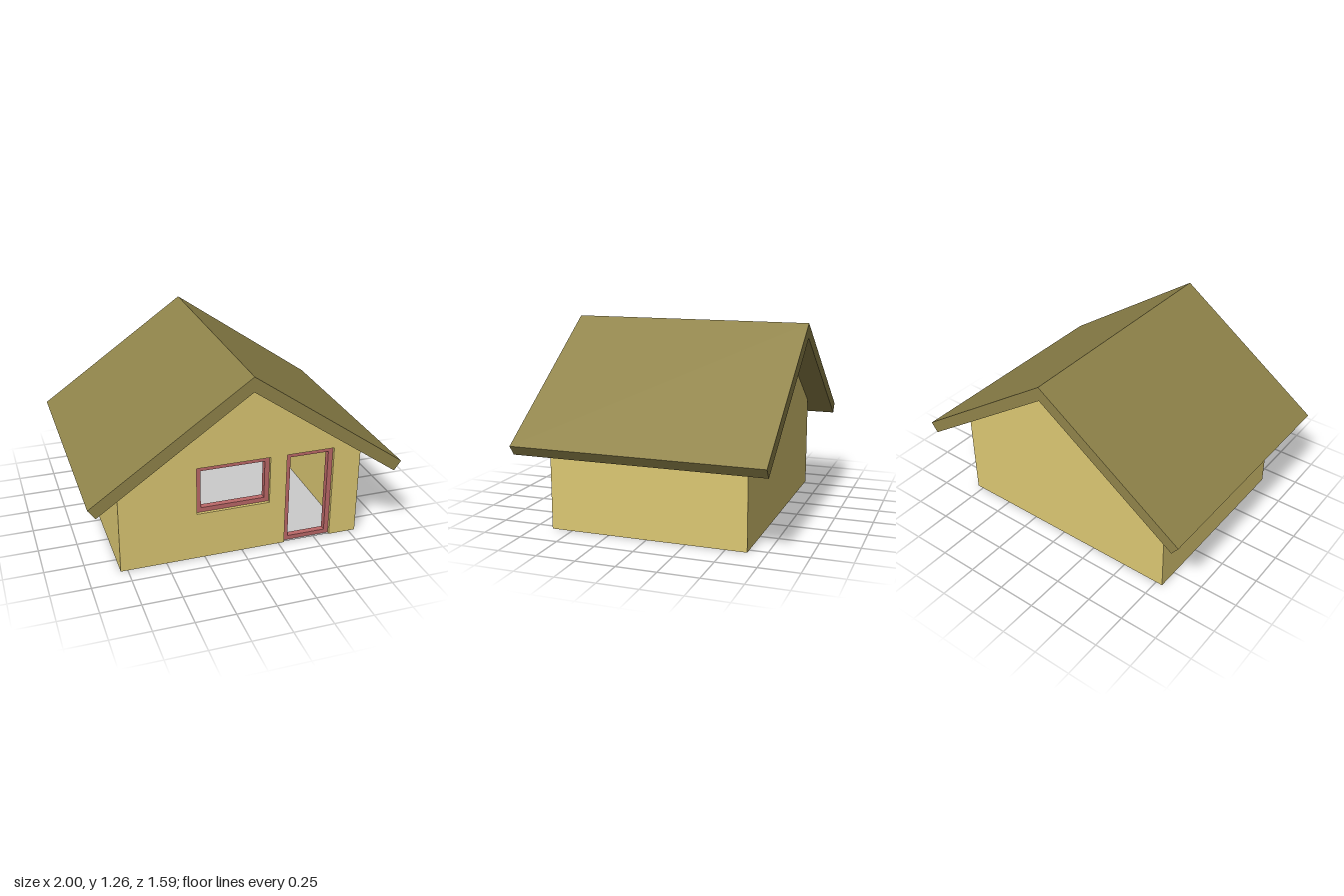
import * as THREE from 'three';

const HALF_W = 0.795, HALF_D = 0.635, WALL = 0.08;
const PEAK = 1.17, SLOPE = 0.696;
const WINDOW = { x0: -0.3, x1: 0.18, y0: 0.32, y1: 0.64 };
const DOOR = { x0: 0.29, x1: 0.61, y0: 0, y1: 0.64 };

const paint = (color) => new THREE.MeshStandardMaterial({ color, flatShading: true });
const roofline = (x) => PEAK - SLOPE * Math.abs(x);
const outline = (points) => points.map(([x, y]) => new THREE.Vector2(x, y));
const rect = ({ x0, x1, y0, y1 }, inset = 0) => outline([
  [x0 + inset, y0 + inset], [x1 - inset, y0 + inset],
  [x1 - inset, y1 - inset], [x0 + inset, y1 - inset],
]);

// Extrudes an outline from z0 to z1, with optional holes
function slab(name, points, holes, z0, z1, material) {
  const shape = new THREE.Shape(points);
  for (const hole of holes) shape.holes.push(new THREE.Path(hole));
  const geometry = new THREE.ExtrudeGeometry(shape, { depth: z1 - z0, bevelEnabled: false });
  geometry.translate(0, 0, z0);
  const mesh = new THREE.Mesh(geometry, material);
  mesh.name = name;
  return mesh;
}

export function createModel() {
  const house = new THREE.Group();
  house.name = 'house';
  const wallPaint = paint(0xdcc873);
  const roofPaint = paint(0x90844a);
  const framePaint = paint(0xbc6868);

  // Gable walls; the front one has a doorway notch and a window hole
  const gable = [[HALF_W, 0], [HALF_W, roofline(HALF_W)], [0, PEAK],
    [-HALF_W, roofline(HALF_W)], [-HALF_W, 0]];
  const doorway = [[DOOR.x0, 0], [DOOR.x0, DOOR.y1], [DOOR.x1, DOOR.y1], [DOOR.x1, 0]];
  house.add(
    slab('frontWall', outline([...gable, ...doorway]), [rect(WINDOW)], HALF_D - WALL, HALF_D, wallPaint),
    slab('backWall', outline(gable), [], -HALF_D, -HALF_D + WALL, wallPaint),
  );

  // Side walls with tops cut to the roof slope
  for (const [name, side] of [['leftWall', 1], ['rightWall', -1]]) {
    const outer = side * HALF_W, inner = side * (HALF_W - WALL);
    const section = [[inner, 0], [outer, 0], [outer, roofline(outer)], [inner, roofline(inner)]];
    house.add(slab(name, outline(section), [], -HALF_D + WALL, HALF_D - WALL, wallPaint));
  }

  // Roof: one folded slab overhanging all sides
  const roof = [[0, 1.265], [-1, 0.567], [-0.955, 0.505], [0, PEAK], [0.955, 0.505], [1, 0.567]];
  house.add(slab('roof', outline(roof), [], -0.797, 0.797, roofPaint));

  // Window and door frames, set into the middle of the wall
  for (const [name, opening] of [['windowFrame', WINDOW], ['doorFrame', DOOR]]) {
    house.add(slab(name, rect(opening), [rect(opening, 0.031)],
      HALF_D - 0.06, HALF_D - 0.02, framePaint));
  }

  // Thin floor
  const floor = new THREE.Mesh(
    new THREE.PlaneGeometry(2 * HALF_W - 0.01, 2 * HALF_D - 0.01).rotateX(-Math.PI / 2),
    new THREE.MeshStandardMaterial({ color: 0xcccccc, side: THREE.DoubleSide }),
  );
  floor.name = 'floor';
  floor.position.y = 0.002;
  house.add(floor);

  return house;
}
